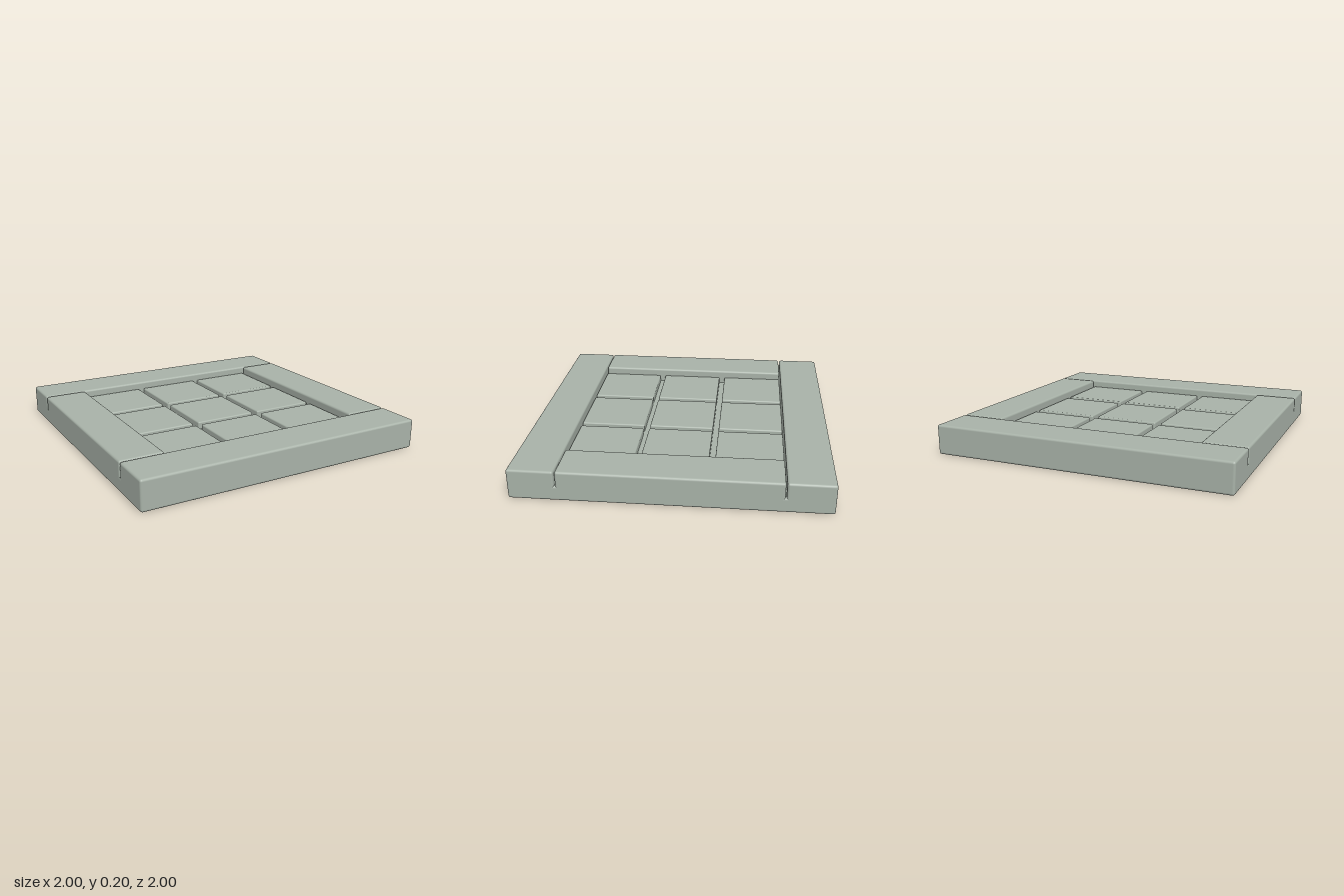
import * as THREE from 'three';
import { RoundedBoxGeometry } from 'three/addons/geometries/RoundedBoxGeometry.js';

export function createModel() {
  const model = new THREE.Group();
  model.name = 'floorPanel';
  const stone = new THREE.MeshStandardMaterial({ color: 0xa8b2a8 });
  stone.name = 'greyGreenStone';

  // Rounded block between two heights, centred at (x, z)
  function block(name, parent, width, depth, bottom, top, x, z, radius) {
    const mesh = new THREE.Mesh(
      new RoundedBoxGeometry(width, top - bottom, depth, 2, radius), stone);
    mesh.name = name;
    mesh.position.set(x, (bottom + top) / 2, z);
    parent.add(mesh);
  }

  // Base slab; the parts above are sunk into it
  block('baseSlab', model, 2, 2, 0, 0.1, 0, 0, 0.015);

  // Raised border: long bars front and back, shorter bars between them
  const border = new THREE.Group();
  border.name = 'border';
  model.add(border);
  const barWidth = 0.295, barCentre = 1 - barWidth / 2;
  for (const side of [-1, 1]) {
    block(side > 0 ? 'frontBar' : 'backBar', border,
      2, barWidth, 0.05, 0.2, 0, side * barCentre, 0.015);
    block(side > 0 ? 'leftBar' : 'rightBar', border,
      barWidth, 1.396, 0.05, 0.2, side * barCentre, 0, 0.015);
  }

  // Three by three grid of lower tiles
  const tiles = new THREE.Group();
  tiles.name = 'tiles';
  model.add(tiles);
  for (let row = -1; row <= 1; row++) {
    for (let column = -1; column <= 1; column++) {
      block('tile', tiles, 0.44, 0.44, 0.07, 0.15, column * 0.48, row * 0.48, 0.01);
    }
  }
  return model;
}
